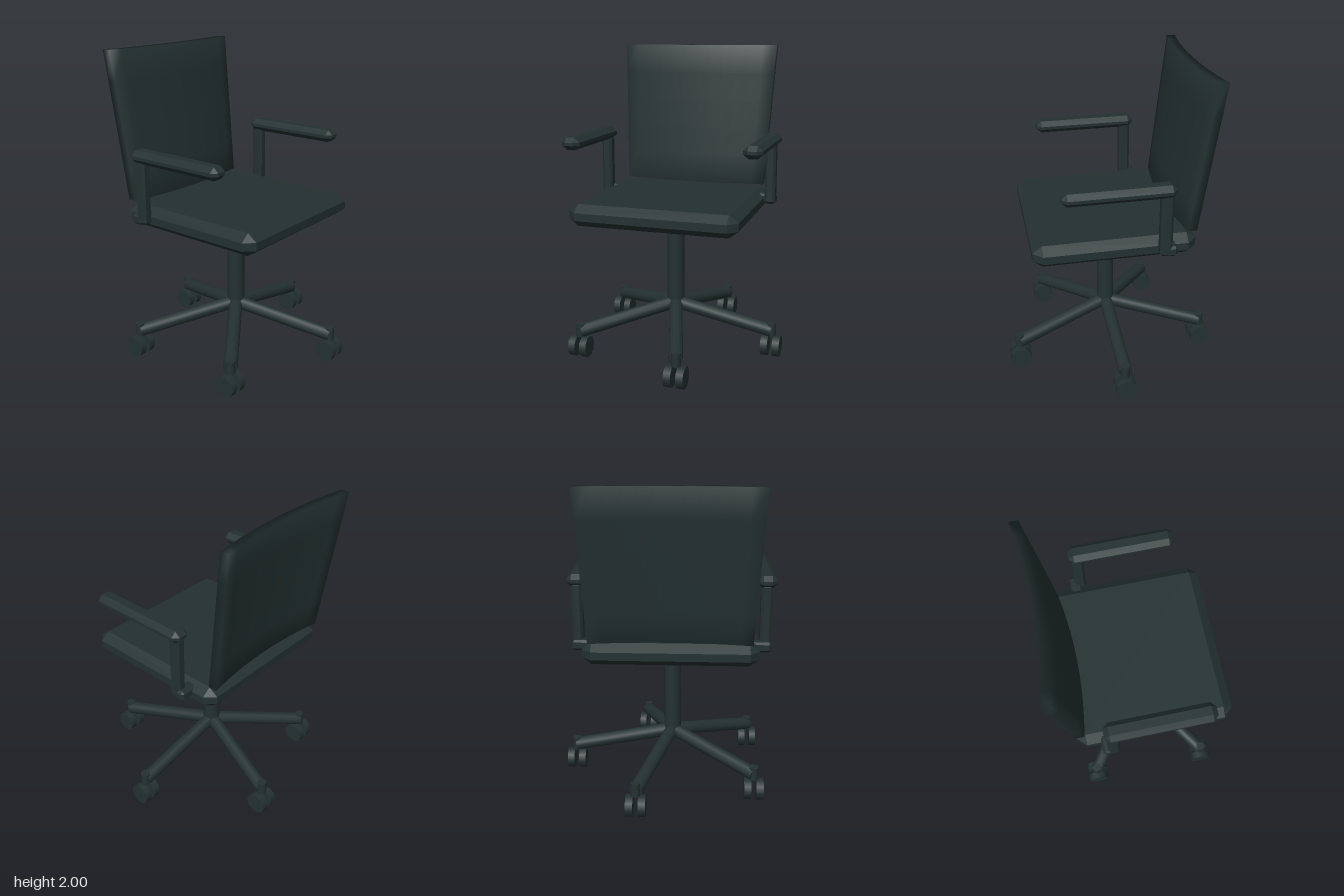
import * as THREE from 'three';
import { mergeVertices } from 'three/addons/utils/BufferGeometryUtils.js';
import { ConvexGeometry } from 'three/addons/geometries/ConvexGeometry.js';

const CX = -0.042; // the chair's own centre line

// Box with chamfered edges: full sizes and a chamfer for each axis
function chamferBox(w, h, d, bx, by, bz) {
  const x = w / 2, y = h / 2, z = d / 2, points = [];
  for (const sx of [-1, 1]) for (const sy of [-1, 1]) for (const sz of [-1, 1]) {
    points.push(
      new THREE.Vector3(sx * x, sy * (y - by), sz * (z - bz)),
      new THREE.Vector3(sx * (x - bx), sy * y, sz * (z - bz)),
      new THREE.Vector3(sx * (x - bx), sy * (y - by), sz * z));
  }
  return new ConvexGeometry(points);
}

// Leaning back panel, wider at the top and bowed forward in the middle
function backrestGeometry() {
  const g = new THREE.BoxGeometry(2, 1, 0.056, 12, 5, 1);
  const p = g.attributes.position;
  for (let i = 0; i < p.count; i++) {
    const u = p.getX(i), t = p.getY(i) + 0.5;
    const bow = 0.045 * (1 - u * u);
    p.setXYZ(i,
      u * THREE.MathUtils.lerp(0.495, 0.543, t),
      THREE.MathUtils.lerp(1.06, 2, t),
      p.getZ(i) - 0.447 - 0.118 * t + bow);
  }
  g.deleteAttribute('normal');
  g.deleteAttribute('uv');
  const smooth = mergeVertices(g);
  smooth.computeVertexNormals();
  return smooth;
}

export function createModel() {
  const chair = new THREE.Group();
  chair.name = 'officeChair';
  const dark = new THREE.MeshStandardMaterial({ color: 0x243131 });
  dark.name = 'dark green grey';

  function add(name, geometry, x = 0, y = 0, z = 0, parent = chair) {
    const mesh = new THREE.Mesh(geometry, dark);
    mesh.name = name;
    mesh.position.set(x, y, z);
    parent.add(mesh);
    return mesh;
  }

  // Seat, backrest and column
  add('seat', chamferBox(1.078, 0.14, 1.01, 0.058, 0.045, 0.06), CX, 0.98, 0.033);
  add('backrest', backrestGeometry(), CX);
  add('column', new THREE.CylinderGeometry(0.057, 0.057, 0.6, 16), CX, 0.602, 0);

  // Armrests, mirrored about the centre line
  for (const s of [-1, 1]) {
    const arm = new THREE.Group();
    arm.name = s > 0 ? 'leftArmrest' : 'rightArmrest';
    arm.position.x = CX;
    chair.add(arm);
    add('armPad', chamferBox(0.12, 0.08, 0.678, 0.033, 0.03, 0.033), s * 0.584, 1.4, 0.034, arm);
    add('armPost', chamferBox(0.07, 0.42, 0.076, 0.016, 0.016, 0.016), s * 0.582, 1.18, -0.252, arm);
    add('armBracket', chamferBox(0.15, 0.066, 0.076, 0.014, 0.014, 0.014), s * 0.542, 0.998, -0.285, arm);
  }

  // Five sloping legs, each with a caster whose two wheels roll along z
  const legGeometry = new THREE.CylinderGeometry(0.044, 0.044, 1, 12);
  const stemGeometry = new THREE.CylinderGeometry(0.03, 0.03, 0.085, 10);
  const wheelGeometry = new THREE.CylinderGeometry(0.07, 0.07, 0.046, 10).rotateZ(Math.PI / 2);
  const hub = new THREE.Vector3(CX, 0.3, 0);
  for (let i = 0; i < 5; i++) {
    const a = i * Math.PI * 2 / 5;
    const tip = new THREE.Vector3(CX + 0.66 * Math.cos(a), 0.172, 0.66 * Math.sin(a));
    const along = tip.clone().sub(hub);
    const leg = add('leg', legGeometry);
    leg.position.copy(hub).add(tip).multiplyScalar(0.5);
    leg.scale.y = along.length();
    leg.quaternion.setFromUnitVectors(new THREE.Vector3(0, 1, 0), along.normalize());
    const caster = new THREE.Group();
    caster.name = 'caster';
    caster.position.set(tip.x, 0, tip.z);
    chair.add(caster);
    add('casterStem', stemGeometry, 0, 0.18, 0, caster);
    for (const s of [-1, 1]) add('wheel', wheelGeometry, s * 0.039, 0.0685, 0, caster);
  }
  return chair;
}
